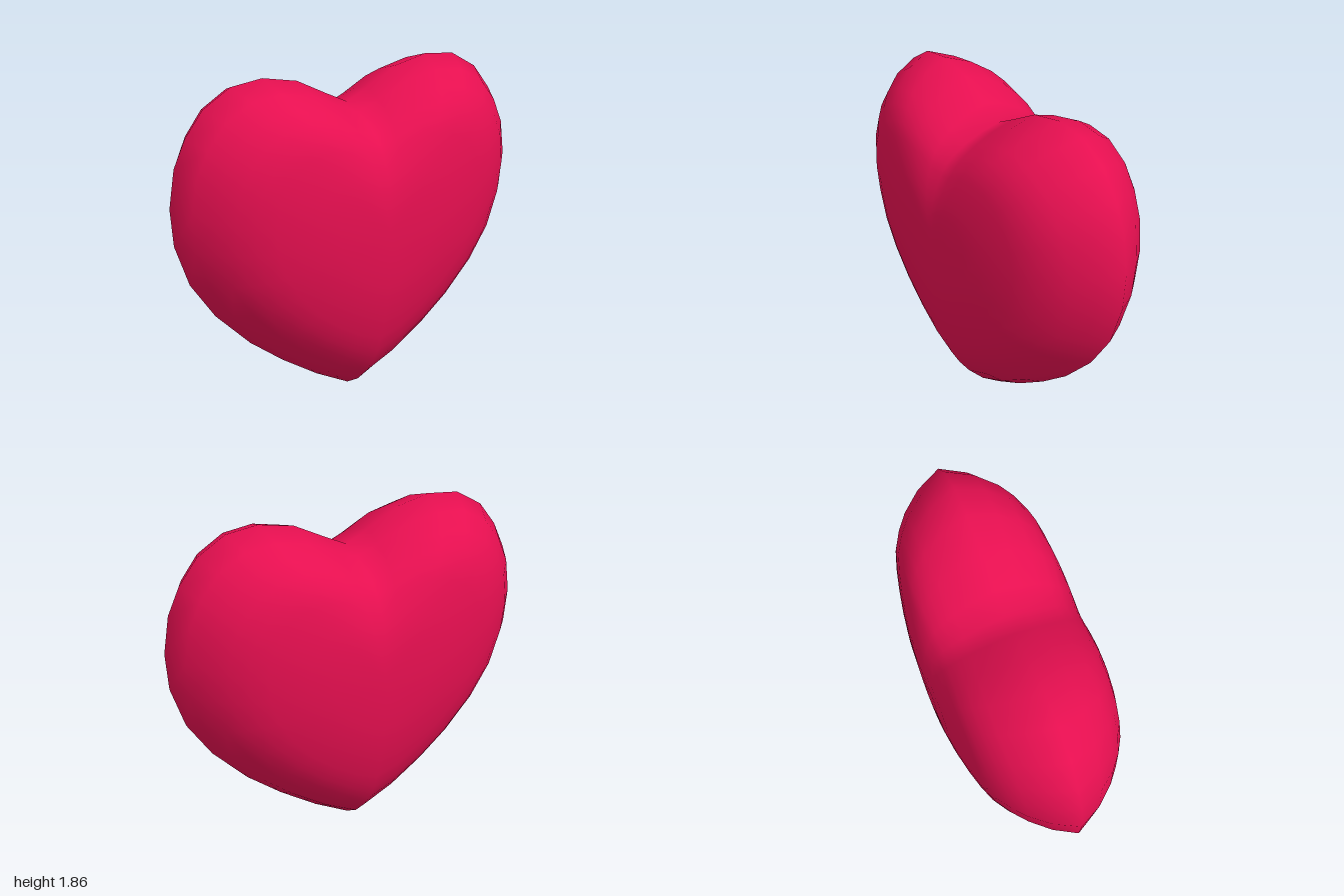
import * as THREE from 'three';
import { mergeVertices } from 'three/addons/utils/BufferGeometryUtils.js';

const CENTER_Y = 1.1;
const DEPTH = 0.435;

// Right half of the outline, from the bottom tip up to the cleft
const HALF = [
  [0, 0.005], [0.2, 0.12], [0.41, 0.27], [0.6, 0.43], [0.79, 0.64], [0.92, 0.85],
  [0.99, 1.08], [1, 1.28], [0.965, 1.48], [0.9, 1.62], [0.8, 1.75], [0.65, 1.84],
  [0.48, 1.86], [0.29, 1.82], [0.12, 1.73], [0, 1.67],
];

// Thickness profile: [distance from the centre, share of the full depth]
const PROFILE = [
  [0, 1], [0.15, 0.995], [0.3, 0.975], [0.42, 0.935], [0.52, 0.885], [0.62, 0.82],
  [0.71, 0.74], [0.79, 0.62], [0.86, 0.48], [0.94, 0.26], [1, 0],
];

// Average each point with its neighbours around the closed loop
function soften(points) {
  const n = points.length;
  return points.map((p, i) => {
    const a = points[(i + n - 1) % n], b = points[(i + 1) % n];
    return [0, 1].map((k) => p[k] / 2 + (a[k] + b[k]) / 4);
  });
}

function heartGeometry() {
  const mirrored = HALF.slice(1, -1).reverse().map(([x, y]) => [-x, y]);
  const outline = [...HALF, ...mirrored];
  const soft = soften(soften(soften(outline)));
  const n = outline.length;

  // Rings run from the front pole over the rim to the back pole
  const rings = [
    ...PROFILE.map(([t, f]) => [t, f]),
    ...PROFILE.slice(0, -1).reverse().map(([t, f]) => [t, -f]),
  ];
  const positions = [];
  for (const [t, f] of rings) {
    outline.forEach(([ox, oy], j) => {
      // Inner rings are rounder, so the tip and cleft creases fade inwards
      const x = THREE.MathUtils.lerp(soft[j][0], ox, t * t);
      const y = THREE.MathUtils.lerp(soft[j][1], oy, t * t);
      // The two upper lobes are a little fuller
      const lobe = Math.max(0, (oy - CENTER_Y) / 0.76) * Math.min(1, Math.abs(ox) / 0.4);
      const z = DEPTH * f * (1 + 0.35 * lobe * t ** 4);
      positions.push(x * t, CENTER_Y + (y - CENTER_Y) * t, z);
    });
  }

  const index = [];
  for (let i = 0; i < rings.length - 1; i++) {
    for (let j = 0; j < n; j++) {
      const k = (j + 1) % n;
      const a = i * n + j, b = a + n, c = (i + 1) * n + k, d = i * n + k;
      if (i < rings.length - 2) index.push(a, b, c);
      if (i > 0) index.push(a, c, d);
    }
  }

  const geometry = new THREE.BufferGeometry();
  geometry.setAttribute('position', new THREE.Float32BufferAttribute(positions, 3));
  geometry.setIndex(index);
  const merged = mergeVertices(geometry, 1e-5);
  merged.computeVertexNormals();
  return merged;
}

export function createModel() {
  const group = new THREE.Group();
  group.name = 'heartModel';
  const heart = new THREE.Mesh(
    heartGeometry(),
    new THREE.MeshStandardMaterial({ color: 0xe60f50 }),
  );
  heart.name = 'heart';
  group.add(heart);
  return group;
}
